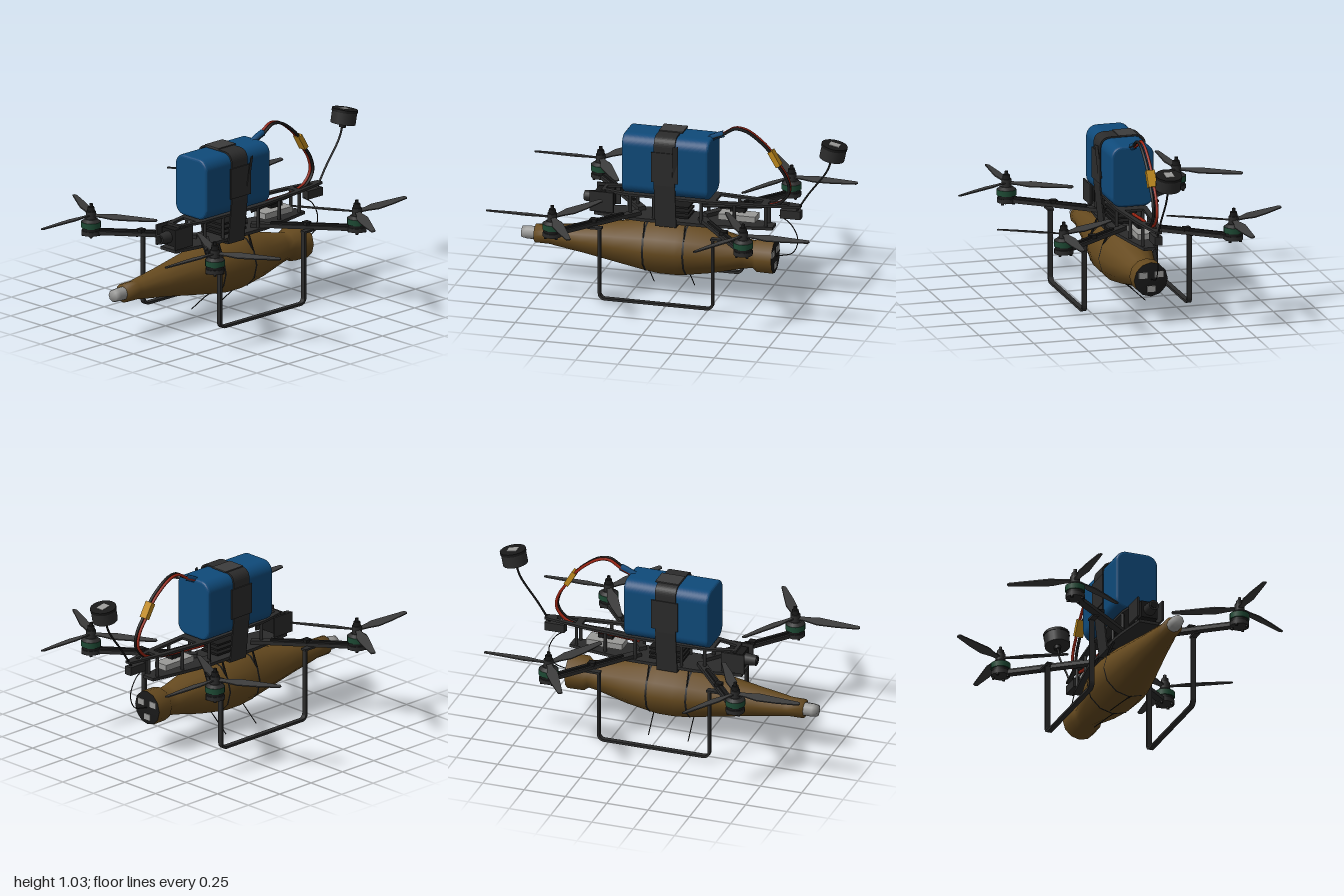
import * as THREE from 'three';

const mat = (name, color) => {
  const m = new THREE.MeshStandardMaterial({ color });
  m.name = name;
  return m;
};

export function createModel() {
  const root = new THREE.Group();
  root.name = 'quadcopter';
  const carbon = mat('carbon', 0x2b2b2b), blade = mat('bladeGrey', 0x3c3c3c), black = mat('black', 0x191919);
  const blue = mat('blue', 0x0f4a7a), brown = mat('brown', 0x664a1f), metal = mat('metal', 0x9a9a98);
  const green = mat('green', 0x1d4a34), red = mat('red', 0x9c2412), yellow = mat('yellow', 0xc08a1c);
  const V = (x, y, z) => new THREE.Vector3(x, y, z);

  const add = (name, geo, m, x = 0, y = 0, z = 0, parent = root) => {
    const mesh = new THREE.Mesh(geo, m);
    mesh.name = name;
    mesh.position.set(x, y, z);
    parent.add(mesh);
    return mesh;
  };
  const box = (name, w, h, d, m, x, y, z, parent) => add(name, new THREE.BoxGeometry(w, h, d), m, x, y, z, parent);
  const cyl = (name, r1, r2, h, m, x, y, z, n = 16, parent) =>
    add(name, new THREE.CylinderGeometry(r1, r2, h, n), m, x, y, z, parent);
  const tube = (name, pts, r, m, n = 40) =>
    add(name, new THREE.TubeGeometry(new THREE.CatmullRomCurve3(pts.map(p => V(...p))), n, r, 6), m);
  const beam = (name, a, b, w, h, m) => {
    const A = V(...a), B = V(...b);
    const mesh = box(name, w, h, A.distanceTo(B), m, 0, 0, 0);
    mesh.position.copy(A).add(B).multiplyScalar(0.5);
    mesh.lookAt(B);
    return mesh;
  };
  const poly = pts => new THREE.Shape(pts.map(p => new THREE.Vector2(...p)));
  // Flat horizontal plate from an outline given as (x, z), mirrored over x
  const plate = (name, half, holes, y, t, m) => {
    const mirror = pts => poly([...pts, ...pts.slice().reverse().map(([x, z]) => [-x, z])].map(([x, z]) => [x, -z]));
    const s = mirror(half);
    holes.forEach(h => s.holes.push(mirror(h)));
    const g = new THREE.ExtrudeGeometry(s, { depth: t, bevelEnabled: false });
    return add(name, g.rotateX(-Math.PI / 2), m, 0, y, 0);
  };
  const roundRect = (w, h, r) => {
    const s = new THREE.Shape(), a = w / 2 - r, b = h / 2 - r;
    s.absarc(a, b, r, 0, Math.PI / 2);
    s.absarc(-a, b, r, Math.PI / 2, Math.PI);
    s.absarc(-a, -b, r, Math.PI, Math.PI * 1.5);
    s.absarc(a, -b, r, Math.PI * 1.5, Math.PI * 2);
    return s;
  };
  const lathe = (name, pts, n, m, y, parent) => add(name,
    new THREE.LatheGeometry(pts.map(([z, r]) => new THREE.Vector2(r, z)), n).rotateX(Math.PI / 2), m, 0, y, 0, parent);

  // Slung body with a metal nose and a dark tail
  lathe('slungBody', [[-0.58, 0.102], [-0.48, 0.1], [-0.455, 0.08], [-0.4, 0.088], [-0.22, 0.132],
    [-0.07, 0.157], [-0.02, 0.163], [0.09, 0.163], [0.17, 0.153], [0.35, 0.122], [0.55, 0.087],
    [0.72, 0.062], [0.75, 0.056], [0.84, 0.055], [0.84, 0]], 12, brown, 0.288);
  lathe('nose', [[0.83, 0.04], [0.89, 0.04], [0.92, 0.034], [0.92, 0]], 8, metal, 0.288);
  lathe('tailCap', [[-0.575, 0], [-0.575, 0.1], [-0.56, 0.1]], 12, black, 0.288);
  for (let i = 0; i < 3; i++) {
    const a = i * Math.PI * 2 / 3 + 0.5;
    box('tailPlate', 0.05, 0.035, 0.006, metal, Math.cos(a) * 0.055, 0.288 + Math.sin(a) * 0.055, -0.577);
  }
  // Ties round the body with loose tails
  for (const [z, r] of [[0.17, 0.155], [-0.07, 0.159]]) {
    add('tie', new THREE.CylinderGeometry(r, r, 0.012, 12, 1, true).rotateX(Math.PI / 2), black, 0, 0.288, z);
    tube('tieTail', [[0.03, 0.15, z], [-0.01, 0.12, z], [-0.12, 0.02, z + 0.005]], 0.003, black, 8);
    for (const s of [-1, 1]) beam('tieSide', [s * 0.13, 0.37, z], [s * 0.09, 0.47, z], 0.005, 0.012, black);
  }

  // Battery with rounded edges
  const bat = new THREE.ExtrudeGeometry(roundRect(0.225, 0.33, 0.05),
    { depth: 0.485, bevelThickness: 0.015, bevelSize: 0.015, bevelSegments: 3, curveSegments: 8 });
  add('battery', bat, blue, -0.002, 0.8, -0.2);

  // Strap round the battery and down to the frame
  const strapOutline = k => {
    const s = new THREE.Shape(), x = 0.129 + k, top = 0.981 + k;
    s.moveTo(-0.1 - k, 0.45 - k);
    s.lineTo(0.1 + k, 0.45 - k);
    s.lineTo(x, 0.7);
    s.lineTo(x, top - 0.065);
    s.quadraticCurveTo(x, top, x - 0.065, top);
    s.lineTo(0.065 - x, top);
    s.quadraticCurveTo(-x, top, -x, top - 0.065);
    s.lineTo(-x, 0.7);
    return s;
  };
  const strap = strapOutline(0.008);
  strap.holes.push(strapOutline(0));
  add('strap', new THREE.ExtrudeGeometry(strap, { depth: 0.125, bevelEnabled: false }), carbon, 0, 0, -0.02);
  for (const s of [-1, 1]) box('strapPatch', 0.008, 0.18, 0.16, carbon, s * 0.139, 0.81, 0.04);
  box('strapPatchTop', 0.11, 0.008, 0.14, blade, -0.03, 0.991, 0.035);
  beam('strapEnd', [0.135, 0.75, -0.02], [0.16, 0.95, -0.03], 0.03, 0.004, carbon);

  // Frame plates and standoffs
  plate('bottomPlate', [[0.06, 0.48], [0.09, 0.3], [0.1, 0.2], [0.1, -0.2], [0.07, -0.4], [0.04, -0.57]], [], 0.458, 0.018, carbon);
  plate('topPlate', [[0.05, 0.44], [0.085, 0.28], [0.09, -0.2], [0.06, -0.5], [0.02, -0.73]],
    [[[0.022, 0.42], [0.05, 0.31]], [[0.055, -0.24], [0.028, -0.5]], [[0.025, -0.54], [0.01, -0.66]]], 0.598, 0.014, carbon);
  for (const s of [-1, 1]) {
    for (const [x, z] of [[0.055, 0.42], [0.075, 0.26], [0.078, 0.12], [0.078, -0.16], [0.055, -0.35], [0.035, -0.53]])
      cyl('standoff', 0.01, 0.01, 0.14, carbon, s * x, 0.54, z, 8);
    box('cameraSidePlate', 0.012, 0.12, 0.14, carbon, s * 0.075, 0.545, 0.43);
  }
  // Electronics between the plates
  for (const y of [0.492, 0.52, 0.55]) box('circuitBoard', 0.13, 0.012, 0.2, black, 0, y, 0.02);
  box('videoUnit', 0.09, 0.035, 0.22, metal, 0, 0.512, -0.36);
  box('receiver', 0.05, 0.025, 0.09, black, 0, 0.555, -0.36);

  // Camera
  box('cameraBody', 0.1, 0.1, 0.1, black, 0, 0.545, 0.43);
  const lens = new THREE.CylinderGeometry(0.03, 0.036, 0.07, 16).rotateX(Math.PI / 2);
  add('lens', lens, carbon, 0, 0.545, 0.515);
  add('lensGlass', new THREE.CylinderGeometry(0.02, 0.02, 0.006, 16).rotateX(Math.PI / 2), black, 0, 0.545, 0.551);

  // Rear aerial: mount, stem and drum
  box('aerialMount', 0.045, 0.05, 0.12, carbon, 0, 0.555, -0.67);
  tube('aerialStem', [[0, 0.57, -0.7], [0, 0.68, -0.77], [0, 0.84, -0.885], [0, 0.93, -0.913]], 0.006, black);
  const drum = new THREE.Group();
  drum.name = 'aerialDrum';
  drum.position.set(0, 0.957, -0.92);
  drum.rotation.x = -0.2;
  root.add(drum);
  cyl('drumBody', 0.073, 0.073, 0.085, carbon, 0, 0, 0, 20, drum);
  cyl('drumRim', 0.076, 0.076, 0.016, black, 0, 0.035, 0, 20, drum);
  cyl('drumBase', 0.02, 0.02, 0.03, black, 0, -0.05, 0, 10, drum);
  box('drumMark', 0.05, 0.006, 0.06, metal, 0, 0.043, 0, drum);

  // Battery lead, connector and thin aerial wire
  for (const [s, m] of [[-1, red], [1, black]]) {
    const x = s * 0.011;
    tube('batteryLead', [[x, 0.97, -0.2], [x, 1.0, -0.27], [x, 1.04, -0.34], [x, 1.03, -0.41], [x, 0.96, -0.51], [x, 0.9, -0.565]], 0.009, m);
    tube('frameLead', [[x, 0.86, -0.585], [x, 0.77, -0.645], [x, 0.69, -0.66], [x, 0.62, -0.61], [x, 0.585, -0.5],
      [x * 2, 0.575, -0.35], [x * 2, 0.56, -0.15]], 0.009, m);
  }
  tube('leadSleeve', [[0, 0.965, -0.19], [0, 0.985, -0.23], [0, 1.002, -0.275]], 0.02, blue, 10);
  beam('connector', [0, 0.925, -0.55], [0, 0.84, -0.6], 0.05, 0.03, yellow);
  tube('aerialWire', [[0, 0.54, -0.6], [0, 0.49, -0.67], [0, 0.4, -0.71], [0, 0.32, -0.68], [0, 0.29, -0.58]], 0.003, black);

  // Propeller blade outline along +x, slightly pitched
  const bladeShape = poly([[0.015, -0.014], [0.07, -0.02], [0.14, -0.036], [0.25, -0.03], [0.385, -0.014],
    [0.392, 0], [0.385, 0.012], [0.25, 0.022], [0.14, 0.03], [0.07, 0.017], [0.015, 0.014]]);
  const bladeGeo = new THREE.ExtrudeGeometry(bladeShape, { depth: 0.007, bevelEnabled: false })
    .rotateX(-Math.PI / 2 + 0.18);

  // Arms, motors and propellers
  for (const sx of [-1, 1]) for (const f of [-1, 1]) {
    const mx = sx * 0.505, mz = f > 0 ? 0.6 : -0.53, rz = f > 0 ? 0.22 : -0.15;
    beam('arm', [sx * 0.03, 0.487, rz], [mx, 0.487, mz], 0.046, 0.022, carbon);
    beam('motorWire', [sx * 0.12, 0.504, rz + f * 0.07], [mx, 0.504, mz], 0.02, 0.012, black);
    box('armClamp', 0.04, 0.02, 0.04, black, sx * 0.28, 0.507, f > 0 ? 0.42 : -0.35);
    cyl('motorMount', 0.055, 0.055, 0.024, carbon, mx, 0.486, mz);
    for (let i = 0; i < 4; i++) {
      const a = Math.PI / 4 + i * Math.PI / 2;
      cyl('mountScrew', 0.009, 0.009, 0.035, black, mx + Math.cos(a) * 0.045, 0.482, mz + Math.sin(a) * 0.045, 8);
    }
    cyl('motorStator', 0.05, 0.05, 0.02, black, mx, 0.508, mz);
    cyl('motorBell', 0.057, 0.057, 0.034, green, mx, 0.533, mz);
    cyl('motorTop', 0.035, 0.055, 0.016, carbon, mx, 0.558, mz);
    cyl('propellerHub', 0.028, 0.028, 0.045, carbon, mx, 0.588, mz);
    cyl('propellerNut', 0.02, 0.024, 0.03, black, mx, 0.622, mz, 6);
    cyl('motorShaft', 0.01, 0.01, 0.03, black, mx, 0.642, mz, 8);
    for (let i = 0; i < 3; i++) {
      const b = add('propellerBlade', bladeGeo, blade, mx, 0.584, mz);
      b.rotation.y = -f * Math.PI / 2 + i * Math.PI * 2 / 3;
    }
  }

  // U-shaped landing legs, flat strips bent in the side plane
  const legOutline = k => {
    const s = [], r = 0.04 - k, z0 = -0.302 + k, z1 = 0.382 - k, y0 = 0.043 + k;
    s.push([z0, 0.48]);
    for (let i = 0; i <= 5; i++) {
      const a = Math.PI + i * Math.PI / 10;
      s.push([z0 + r + Math.cos(a) * r, y0 + r + Math.sin(a) * r]);
    }
    for (let i = 0; i <= 5; i++) {
      const a = Math.PI * 1.5 + i * Math.PI / 10;
      s.push([z1 - r + Math.cos(a) * r, y0 + r + Math.sin(a) * r]);
    }
    s.push([z1, 0.48]);
    return s;
  };
  const legGeo = new THREE.ExtrudeGeometry(poly([...legOutline(0), ...legOutline(0.014).reverse()]),
    { depth: 0.03, bevelEnabled: false }).rotateY(-Math.PI / 2);
  for (const s of [-1, 1]) {
    add('landingLeg', legGeo, carbon, s * 0.312 + 0.015, 0, 0);
    box('legFootFront', 0.036, 0.012, 0.08, carbon, s * 0.312, 0.474, 0.4);
    box('legFootRear', 0.036, 0.012, 0.09, carbon, s * 0.312, 0.474, -0.33);
  }
  return root;
}
